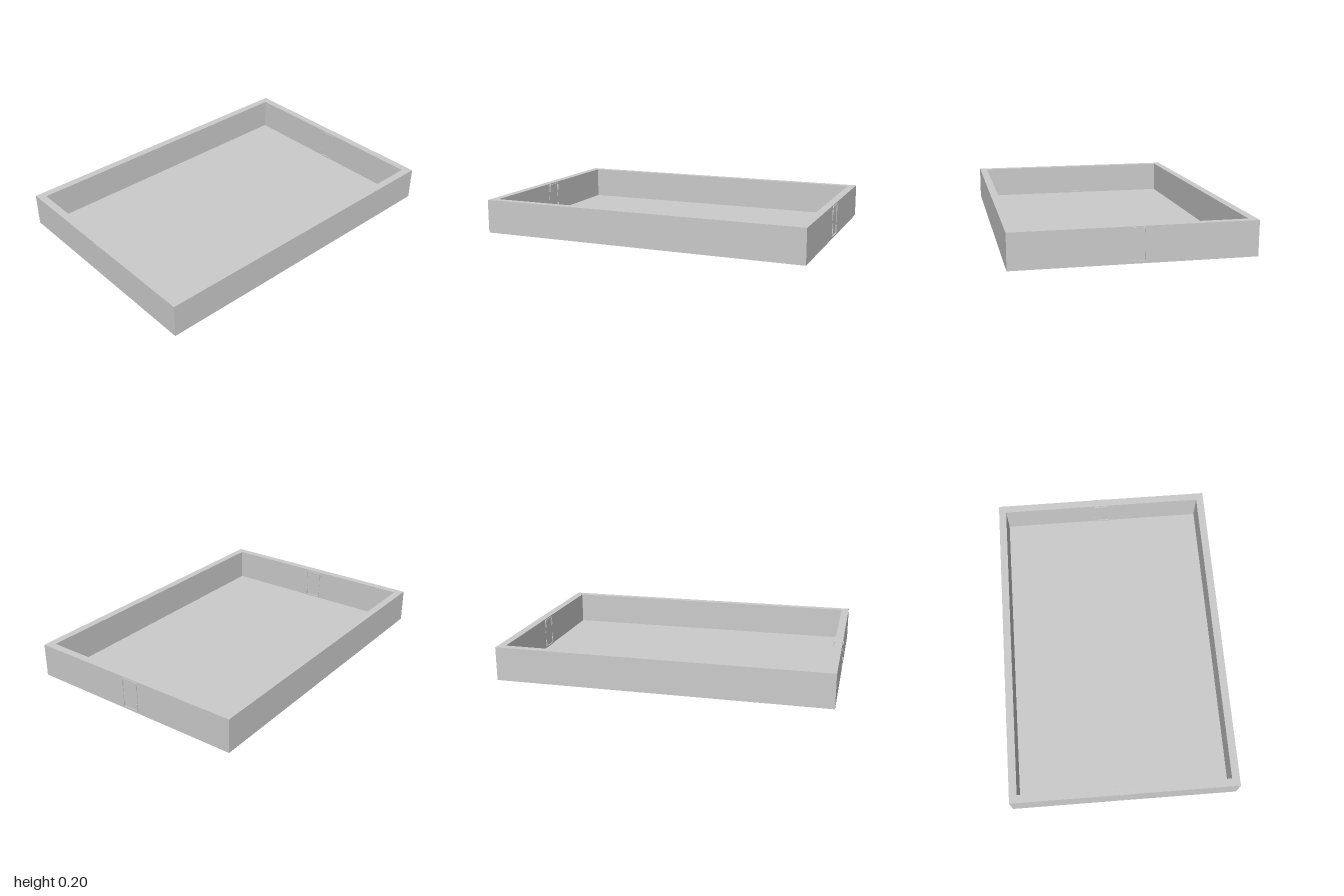
import * as THREE from 'three';

const material = new THREE.MeshStandardMaterial({ color: 0xcccccc, flatShading: true });
const HEIGHT = 0.205;
const X_MIN = -1, X_MAX = 0.993, HALF_Z = 0.69, WALL = 0.047, FLOOR = 0.007;

function addMesh(parent, name, geometry) {
  const mesh = new THREE.Mesh(geometry, material);
  mesh.name = name;
  parent.add(mesh);
  return mesh;
}

// Traces a rectangle with rounded corners on a Shape or Path
function roundedRect(path, x0, y0, x1, y1, r) {
  path.moveTo(x0 + r, y0);
  path.lineTo(x1 - r, y0);
  path.absarc(x1 - r, y0 + r, r, -Math.PI / 2, 0);
  path.lineTo(x1, y1 - r);
  path.absarc(x1 - r, y1 - r, r, 0, Math.PI / 2);
  path.lineTo(x0 + r, y1);
  path.absarc(x0 + r, y1 - r, r, Math.PI / 2, Math.PI);
  path.lineTo(x0, y0 + r);
  path.absarc(x0 + r, y0 + r, r, Math.PI, Math.PI * 1.5);
  return path;
}

function rect(x0, y0, x1, y1, Type = THREE.Shape) {
  return new Type([[x0, y0], [x1, y0], [x1, y1], [x0, y1]].map(([x, y]) => new THREE.Vector2(x, y)));
}

// Extrudes a (z, y) outline along x, from x0 to x1
function extrudeAcross(shape, x0, x1) {
  const geometry = new THREE.ExtrudeGeometry(shape, { depth: x1 - x0, bevelEnabled: false, curveSegments: 4 });
  return geometry.rotateY(Math.PI / 2).translate(x0, 0, 0);
}

// U-shaped clip: a bar with two short legs, mirrored for the top and bottom
function clipShape(top) {
  const mid = 0.104, sign = top ? 1 : -1;
  const points = [[-0.054, 0.044], [-0.054, 0.089], [-0.049, 0.094], [0.049, 0.094], [0.054, 0.089],
    [0.054, 0.044], [0.047, 0.044], [0.047, 0.086], [-0.047, 0.086], [-0.047, 0.044]];
  return new THREE.Shape(points.map(([z, y]) => new THREE.Vector2(z, mid + sign * y)));
}

export function createModel() {
  const model = new THREE.Group();
  model.name = 'tray';

  // Rim of four walls
  const rim = rect(X_MIN, -HALF_Z, X_MAX, HALF_Z);
  rim.holes.push(rect(X_MIN + WALL, -HALF_Z + WALL, X_MAX - WALL, HALF_Z - WALL, THREE.Path));
  const walls = new THREE.ExtrudeGeometry(rim, { depth: HEIGHT, bevelEnabled: false });
  addMesh(model, 'walls', walls.rotateX(-Math.PI / 2));

  // Thin floor
  const floor = new THREE.BoxGeometry(X_MAX - X_MIN - 2 * WALL, FLOOR, 2 * (HALF_Z - WALL));
  addMesh(model, 'floor', floor).position.set((X_MIN + X_MAX) / 2, FLOOR / 2, 0);

  // Handle fitting through each end wall: a slim frame and two clips
  const ends = [
    { name: 'rightEndFitting', frame: [0.945, 0.9955], clips: [0.94, 0.999] },
    { name: 'leftEndFitting', frame: [-1.0012, -0.952], clips: [-1.0015, -0.944] },
  ];
  for (const { name, frame, clips } of ends) {
    const fitting = new THREE.Group();
    fitting.name = name;
    const ring = roundedRect(new THREE.Shape(), -0.056, 0.008, 0.056, 0.2, 0.01);
    ring.holes.push(roundedRect(new THREE.Path(), -0.05, 0.014, 0.05, 0.194, 0.005));
    addMesh(fitting, 'handleFrame', extrudeAcross(ring, ...frame));
    addMesh(fitting, 'topClip', extrudeAcross(clipShape(true), ...clips));
    addMesh(fitting, 'bottomClip', extrudeAcross(clipShape(false), ...clips));
    model.add(fitting);
  }
  return model;
}
